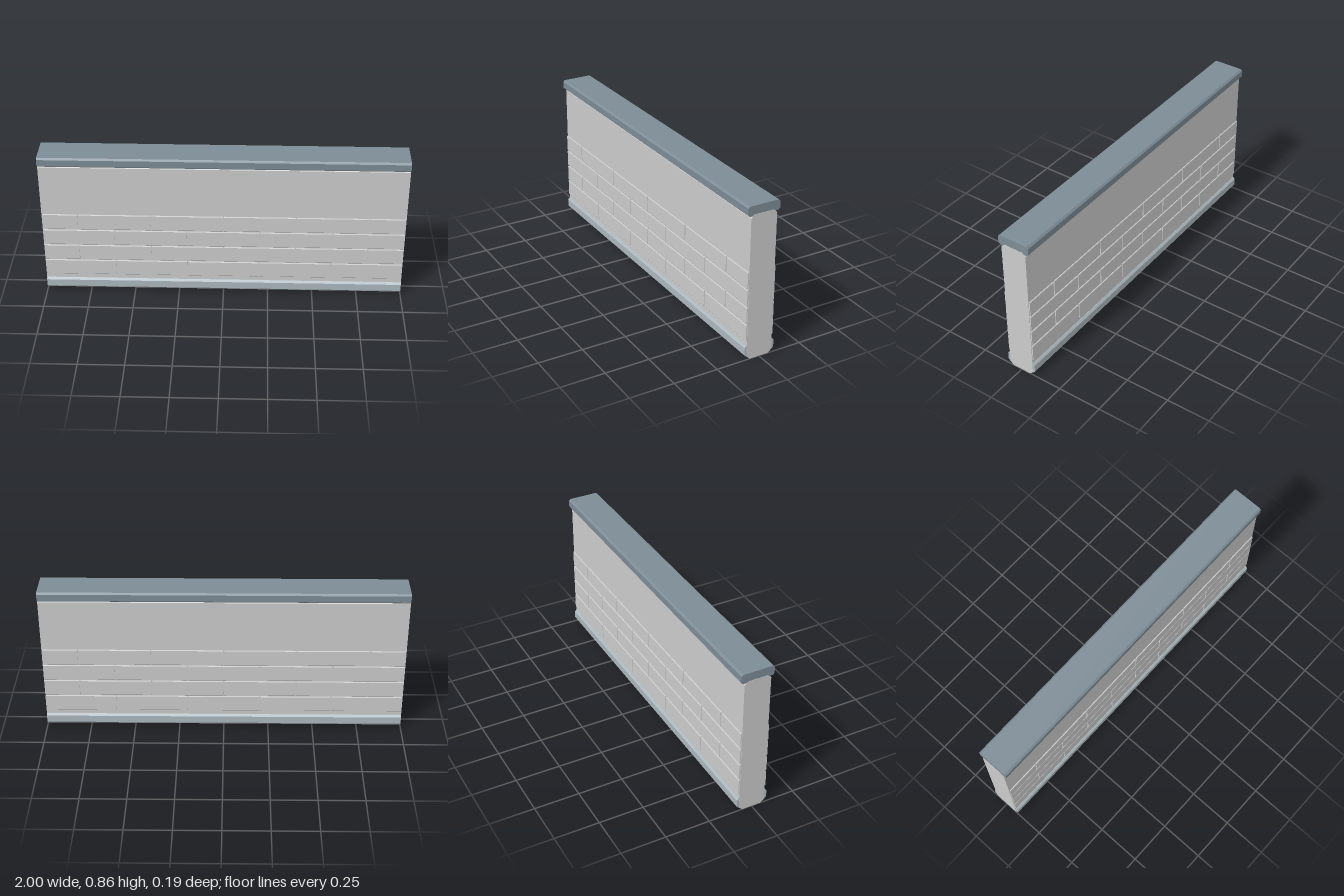
import * as THREE from 'three';

const grey = new THREE.MeshStandardMaterial({ color: 0xcccccc, flatShading: true });
const slate = new THREE.MeshStandardMaterial({ color: 0x7d8c96, flatShading: true });
const paleSlate = new THREE.MeshStandardMaterial({ color: 0xabb7bd, flatShading: true });

// Sweeps a (z, y) cross-section along x, centred on x = 0
function bar(name, profile, length, material) {
  const shape = new THREE.Shape(profile.map(([z, y]) => new THREE.Vector2(-z, y)));
  const geometry = new THREE.ExtrudeGeometry(shape, { depth: length, bevelEnabled: false });
  geometry.translate(0, 0, -length / 2).rotateY(Math.PI / 2);
  const mesh = new THREE.Mesh(geometry, material);
  mesh.name = name;
  return mesh;
}

// Completes one half of a cross-section by mirroring it in z
const mirrored = (half) => [...half, ...half.map(([z, y]) => [-z, y]).reverse()];

export function createModel() {
  const wall = new THREE.Group();
  wall.name = 'wall';

  // Chamfered wall slab
  wall.add(bar('wallCore', mirrored([
    [0.055, 0], [0.075, 0.018], [0.075, 0.797], [0.056, 0.815],
  ]), 2, grey));

  // Coping along the top
  wall.add(bar('coping', mirrored([
    [0.083, 0.807], [0.093, 0.816], [0.093, 0.853], [0.083, 0.862],
  ]), 1.998, slate));

  for (const side of [1, -1]) {
    const face = new THREE.Group();
    face.name = side > 0 ? 'frontFace' : 'backFace';
    if (side < 0) face.rotation.y = Math.PI;

    // Skirting along the foot
    face.add(bar('skirting', [
      [0.06, 0.018], [0.077, 0.018], [0.088, 0.029], [0.088, 0.07], [0.078, 0.081], [0.06, 0.081],
    ], 1.998, paleSlate));

    // Four courses of raised bricks in running bond
    for (let row = 0; row < 4; row++) {
      const joints = row % 2 ? [-1, -0.8, -0.4, 0, 0.4, 0.8, 1] : [-1, -0.6, -0.2, 0.2, 0.6, 1];
      const y0 = 0.107 + row * 0.1;
      const y1 = y0 + 0.094;
      for (let i = 0; i < joints.length - 1; i++) {
        const length = joints[i + 1] - joints[i] - 0.006;
        const brick = bar('brick', [
          [0.07, y0], [0.079, y0], [0.081, y0 + 0.003], [0.081, y1 - 0.003], [0.079, y1], [0.07, y1],
        ], length, grey);
        brick.position.x = (joints[i] + joints[i + 1]) / 2;
        face.add(brick);
      }
    }
    wall.add(face);
  }
  return wall;
}
